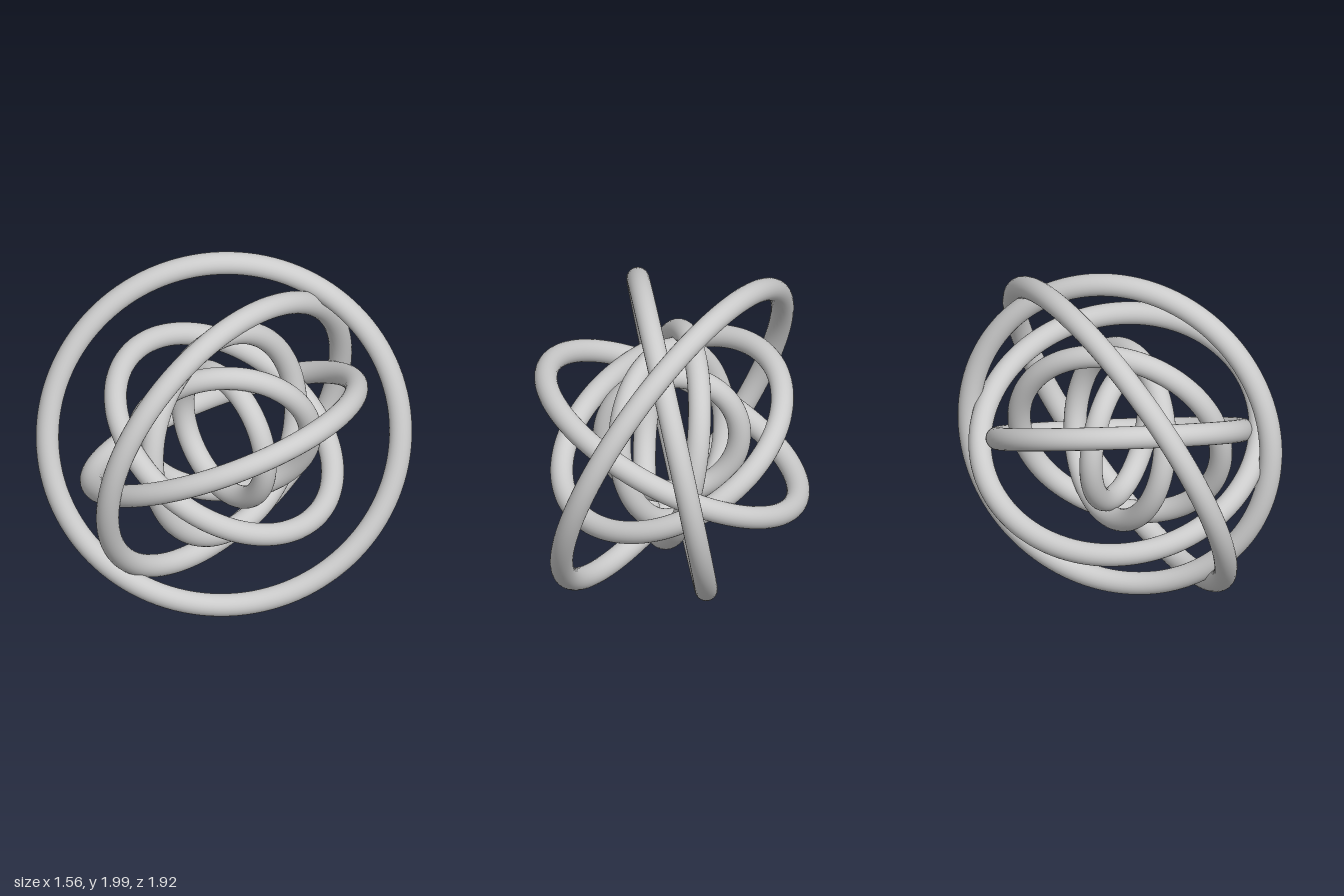
import * as THREE from 'three';

const TUBE = 0.065;

// Concentric rings from outside in: name, radius, axis the ring turns about
const RINGS = [
  ['outerRing', 1.0, [0.775, 0.36, 0.517]],
  ['secondRing', 0.9, [0.978, -0.178, -0.11]],
  ['thirdRing', 0.797, [-0.447, 0.89, 0.085]],
  ['fourthRing', 0.695, [0.445, 0.86, -0.25]],
  ['fifthRing', 0.59, [0.966, 0.19, -0.175]],
  ['sixthRing', 0.487, [0.787, -0.235, 0.57]],
  ['innerRing', 0.382, [0, 0, 1]],
];

export function createModel() {
  const model = new THREE.Group();
  model.name = 'nestedRings';
  const material = new THREE.MeshStandardMaterial({ color: 0xcccccc });
  const forward = new THREE.Vector3(0, 0, 1);

  for (const [name, radius, axis] of RINGS) {
    const ring = new THREE.Mesh(new THREE.TorusGeometry(radius, TUBE, 24, 128), material);
    ring.name = name;
    ring.position.y = 1;
    // Tilt the ring so its hole faces along the axis
    ring.quaternion.setFromUnitVectors(forward, new THREE.Vector3(...axis).normalize());
    model.add(ring);
  }
  return model;
}
